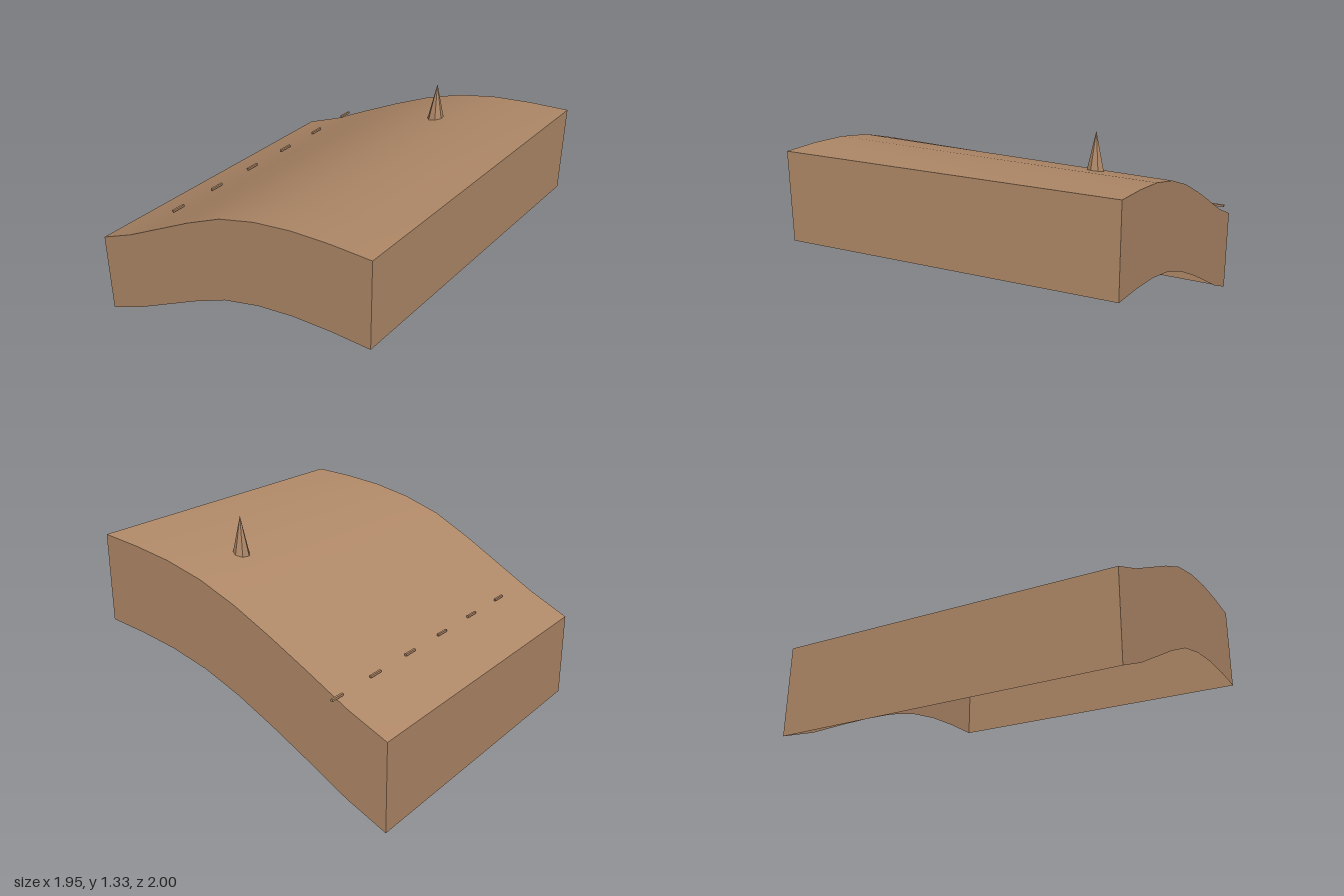
import * as THREE from 'three';

// Ridge heights along x, at the front and back edges
const FRONT = [0.532, 0.645, 0.78, 0.915, 1.035, 1.11, 1.155, 1.177, 1.186];
const BACK = [0.522, 0.625, 0.755, 0.88, 0.995, 1.085, 1.142, 1.175, 1.196];
const X = 0.976, Z0 = -0.955, Z1 = 1, DEPTH = 0.521, N = 8;

function along(list, t) {
  const i = Math.min(N - 1, Math.max(0, Math.floor(t * N)));
  return THREE.MathUtils.lerp(list[i], list[i + 1], t * N - i);
}

function height(x, z) {
  const t = (x + X) / (2 * X);
  return THREE.MathUtils.lerp(along(BACK, t), along(FRONT, t), (z - Z0) / (Z1 - Z0));
}

// Grid surface from a rule; u runs 0..1 across, v runs 0..1 upward
function sheet(nu, nv, rule) {
  const geo = new THREE.PlaneGeometry(1, 1, nu, nv);
  const p = geo.attributes.position;
  for (let i = 0; i < p.count; i++) {
    p.setXYZ(i, ...rule(p.getX(i) + 0.5, p.getY(i) + 0.5));
  }
  geo.computeVertexNormals();
  return geo;
}

function flat(geo) {
  const g = geo.toNonIndexed();
  g.computeVertexNormals();
  return g;
}

export function createModel() {
  const model = new THREE.Group();
  const earth = new THREE.MeshStandardMaterial({ color: 0xb08968, side: THREE.DoubleSide });
  earth.name = 'earth brown';

  const add = (name, geo, x = 0, y = 0, z = 0) => {
    const mesh = new THREE.Mesh(geo, earth);
    mesh.name = name;
    mesh.position.set(x, y, z);
    model.add(mesh);
    return mesh;
  };

  // Curved ground surface
  add('ground', sheet(N, N, (u, v) => {
    const x = (u * 2 - 1) * X, z = THREE.MathUtils.lerp(Z1, Z0, v);
    return [x, height(x, z), z];
  }));

  // Skirt walls hanging from the ground edges, open underneath
  const corners = [[-X, Z1], [X, Z1], [X, Z0], [-X, Z0]];
  ['frontWall', 'leftWall', 'backWall', 'rightWall'].forEach((name, i) => {
    const a = corners[i], b = corners[(i + 1) % 4];
    add(name, flat(sheet(N, 1, (u, v) => {
      const x = THREE.MathUtils.lerp(a[0], b[0], u), z = THREE.MathUtils.lerp(a[1], b[1], u);
      return [x, height(x, z) - DEPTH * (1 - v), z];
    })));
  });

  // Seven-sided spike
  const spike = add('spike', flat(new THREE.ConeGeometry(0.052, 0.237, 7)), 0.322, 1.208, -0.548);
  spike.rotation.y = Math.PI;

  // Row of short bars lying across the slope
  for (let i = 0; i < 6; i++) {
    const z = -0.955 + i * 0.3255;
    add('bar' + (i + 1), new THREE.BoxGeometry(0.012, 0.013, 0.09), -0.67, height(-0.67, z) + 0.013, z);
  }
  return model;
}
